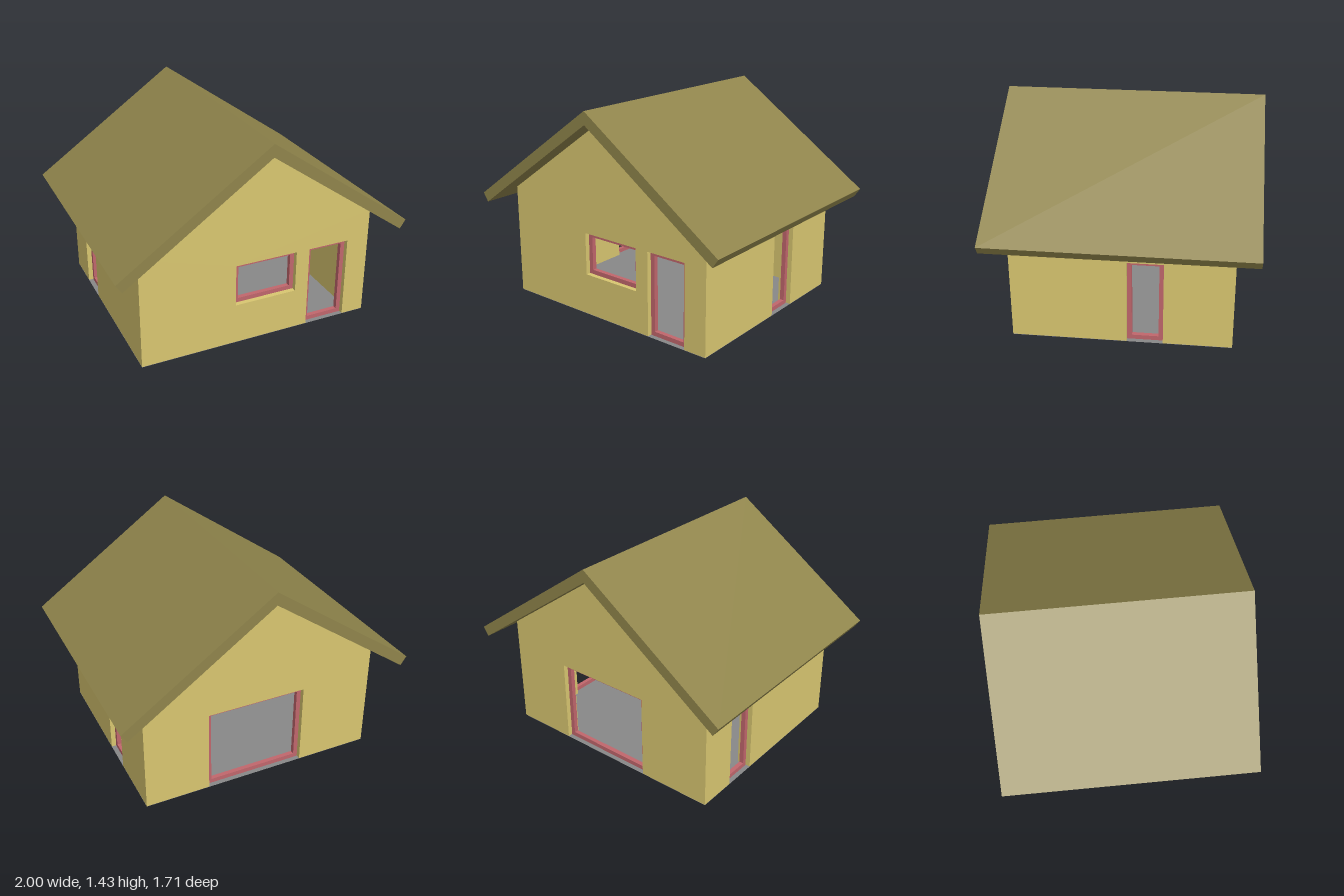
import * as THREE from 'three';

const W = 0.815, D = 0.71, T = 0.095;      // half width, half depth, wall thickness
const RIDGE = 1.34, SLOPE = 0.7;           // roof underside at the ridge, fall per unit
const EAVE = RIDGE - SLOPE * W;
const BASE = 0.002;                        // walls rest just on the floor sheet
const FRAME = 0.03;

const paint = color => new THREE.MeshStandardMaterial({ color, flatShading: true });
const wallMat = paint(0xd8c670), roofMat = paint(0x8f844b), frameMat = paint(0xc0666c);
const floorMat = paint(0x888888);
floorMat.side = THREE.DoubleSide;

function part(name, geometry, material) {
  const mesh = new THREE.Mesh(geometry, material);
  mesh.name = name;
  return mesh;
}

function extrude(shape, depth) {
  return new THREE.ExtrudeGeometry(shape, { depth, bevelEnabled: false }).translate(0, 0, -depth / 2);
}

const points = list => list.map(([x, y]) => new THREE.Vector2(x, y));
const rectangle = (a, b, c, d) => points([[a, c], [b, c], [b, d], [a, d]]);

// Rectangular frame filling an opening
function openingFrame({ name, u0, u1, y0, y1 }) {
  const shape = new THREE.Shape(rectangle(u0, u1, y0, y1));
  shape.holes.push(new THREE.Path(rectangle(u0 + FRAME, u1 - FRAME, y0 + FRAME, y1 - FRAME)));
  return part(name, extrude(shape, 0.03), frameMat);
}

// Wall with its outside towards local +z; openings reaching the ground become notches
function wall(name, half, top, openings, gable) {
  const outline = [[-half, BASE]];
  openings.filter(o => o.y0 <= BASE).forEach(({ u0, u1, y1 }) =>
    outline.push([u0, BASE], [u0, y1], [u1, y1], [u1, BASE]));
  outline.push([half, BASE], [half, top]);
  if (gable) outline.push([0, RIDGE]);
  outline.push([-half, top]);
  const shape = new THREE.Shape(points(outline));
  openings.filter(o => o.y0 > BASE).forEach(o =>
    shape.holes.push(new THREE.Path(rectangle(o.u0, o.u1, o.y0, o.y1))));
  const geometry = extrude(shape, T);

  // Side walls: slope the top edge to meet the roof underside
  if (!gable) {
    const p = geometry.attributes.position;
    for (let i = 0; i < p.count; i++) {
      if (p.getY(i) > top - 0.01) p.setY(i, top + SLOPE * (T / 2 - p.getZ(i)));
    }
    geometry.computeVertexNormals();
  }
  const group = new THREE.Group();
  group.name = name;
  group.add(part(name + 'Panel', geometry, wallMat), ...openings.map(openingFrame));
  return group;
}

export function createModel() {
  const house = new THREE.Group();
  house.name = 'house';

  // Floor sheet
  house.add(part('floor', new THREE.PlaneGeometry(2 * W, 2 * D).rotateX(-Math.PI / 2), floorMat));

  // Gable walls
  const front = wall('frontWall', W, EAVE, [
    { name: 'frontWindowFrame', u0: -0.165, u1: 0.27, y0: 0.285, y1: 0.575 },
    { name: 'frontDoorFrame', u0: 0.365, u1: 0.655, y0: 0, y1: 0.575 },
  ], true);
  front.position.z = D - T / 2;

  const back = wall('backWall', W, EAVE, [
    { name: 'backPatioFrame', u0: -0.375, u1: 0.308, y0: 0, y1: 0.575 },
  ], true);
  back.rotation.y = Math.PI;
  back.position.z = -D + T / 2;

  // Eave walls, fitted between the gables
  const left = wall('leftWall', D - T, EAVE, [
    { name: 'leftDoorFrame', u0: 0.035, u1: 0.268, y0: 0, y1: 0.575 },
  ], false);
  left.rotation.y = Math.PI / 2;
  left.position.x = W - T / 2;

  const right = wall('rightWall', D - T, EAVE, [
    { name: 'rightDoorFrame', u0: -0.443, u1: -0.21, y0: 0, y1: 0.575 },
  ], false);
  right.rotation.y = -Math.PI / 2;
  right.position.x = -W + T / 2;
  house.add(front, back, left, right);

  // Two roof slabs meeting at the ridge
  for (const s of [1, -1]) {
    const slab = new THREE.Shape(points([
      [0, RIDGE], [s * 0.961, RIDGE - SLOPE * 0.961], [s, 0.726], [0, 1.426],
    ]));
    house.add(part(s > 0 ? 'leftRoofSlab' : 'rightRoofSlab', extrude(slab, 1.708), roofMat));
  }
  return house;
}
